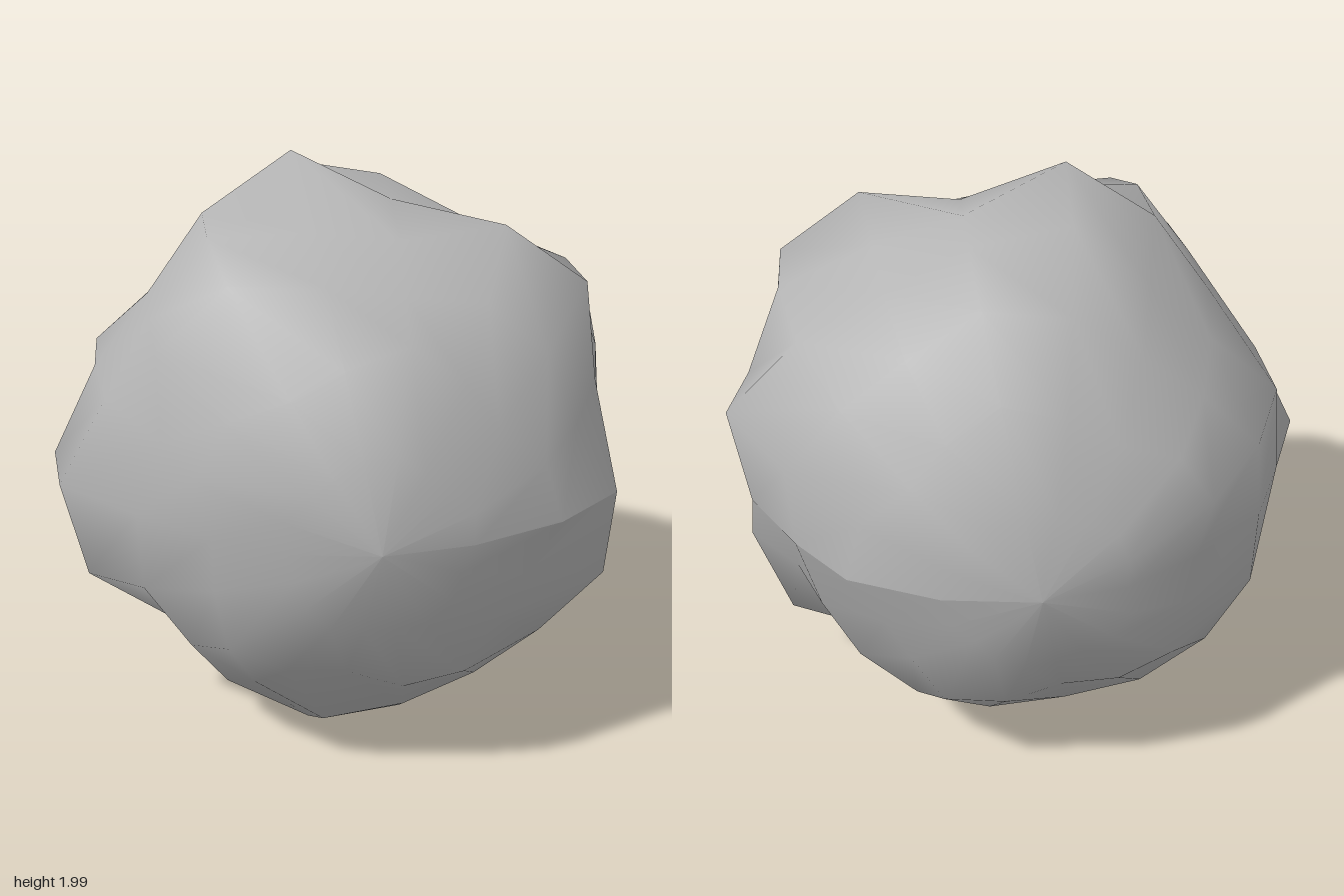
import * as THREE from 'three';

const SIDES = 18;
const BANDS = 10;
const RADIUS = 0.94;

// lumpy cross-sections around the middle, one radius every 20 degrees from +x
const sections = {
  2: [1.03, 0.9, 0.93, 0.94, 0.86, 0.91, 1.056, 1.05, 0.85, 0.91, 0.95, 0.93, 0.91, 1.0, 0.95, 0.93, 0.96, 1.06],
  1: [0.89, 0.91, 1.05, 1.02, 0.85, 0.89, 1.0, 0.92, 0.92, 1.04, 1.02, 0.86, 0.95, 1.013, 0.99, 0.9, 0.94, 0.95],
  0: [0.87, 0.95, 1.0, 0.895, 0.88, 1.055, 0.965, 0.88, 0.92, 1.02, 0.9, 0.9, 0.92, 0.934, 0.88, 0.885, 1.07, 1.0],
  [-1]: [0.945, 1.065, 0.97, 0.9, 0.95, 1.01, 0.88, 0.86, 0.97, 0.94, 0.9, 0.95, 1.07, 0.98, 0.87, 0.91, 0.87, 0.86],
  [-2]: [0.93, 1.01, 0.94, 0.93, 1.01, 0.96, 0.88, 0.89, 0.98, 0.95, 1.0, 1.0, 0.98, 0.93, 0.955, 0.95, 0.92, 0.9],
};

// near the poles, five soft ridges that twist from ring to ring
function capRadius(angle, ring) {
  const height = Math.abs(ring) > 3.5 ? 0.06 : 0.09;
  return 0.94 + height * Math.cos(5 * (angle - THREE.MathUtils.degToRad(115 + 11.7 * ring)));
}

export function createModel() {
  const group = new THREE.Group();
  group.name = 'lumpyBoulder';
  const stone = new THREE.MeshStandardMaterial({ color: 0xb4b4b4 });
  stone.name = 'stone grey';

  // sphere with its poles on the z axis and its seam on +x
  const geometry = new THREE.SphereGeometry(1, SIDES, BANDS, Math.PI);
  geometry.rotateX(Math.PI / 2);
  const p = geometry.attributes.position;
  for (let i = 0; i < p.count; i++) {
    const x = p.getX(i), y = p.getY(i), z = p.getZ(i);
    const angle = Math.atan2(y, x);
    const side = (Math.round(angle / (2 * Math.PI) * SIDES) + SIDES) % SIDES;
    const ring = Math.round(Math.asin(THREE.MathUtils.clamp(z, -1, 1)) / Math.PI * BANDS);
    const r = sections[ring] ? sections[ring][side] : capRadius(angle, ring);
    p.setXYZ(i, x * r, y * r, z * RADIUS);
  }
  geometry.computeVertexNormals();

  const boulder = new THREE.Mesh(geometry, stone);
  boulder.name = 'boulder';
  boulder.position.set(0.03, 0.96, 0);
  group.add(boulder);
  return group;
}
